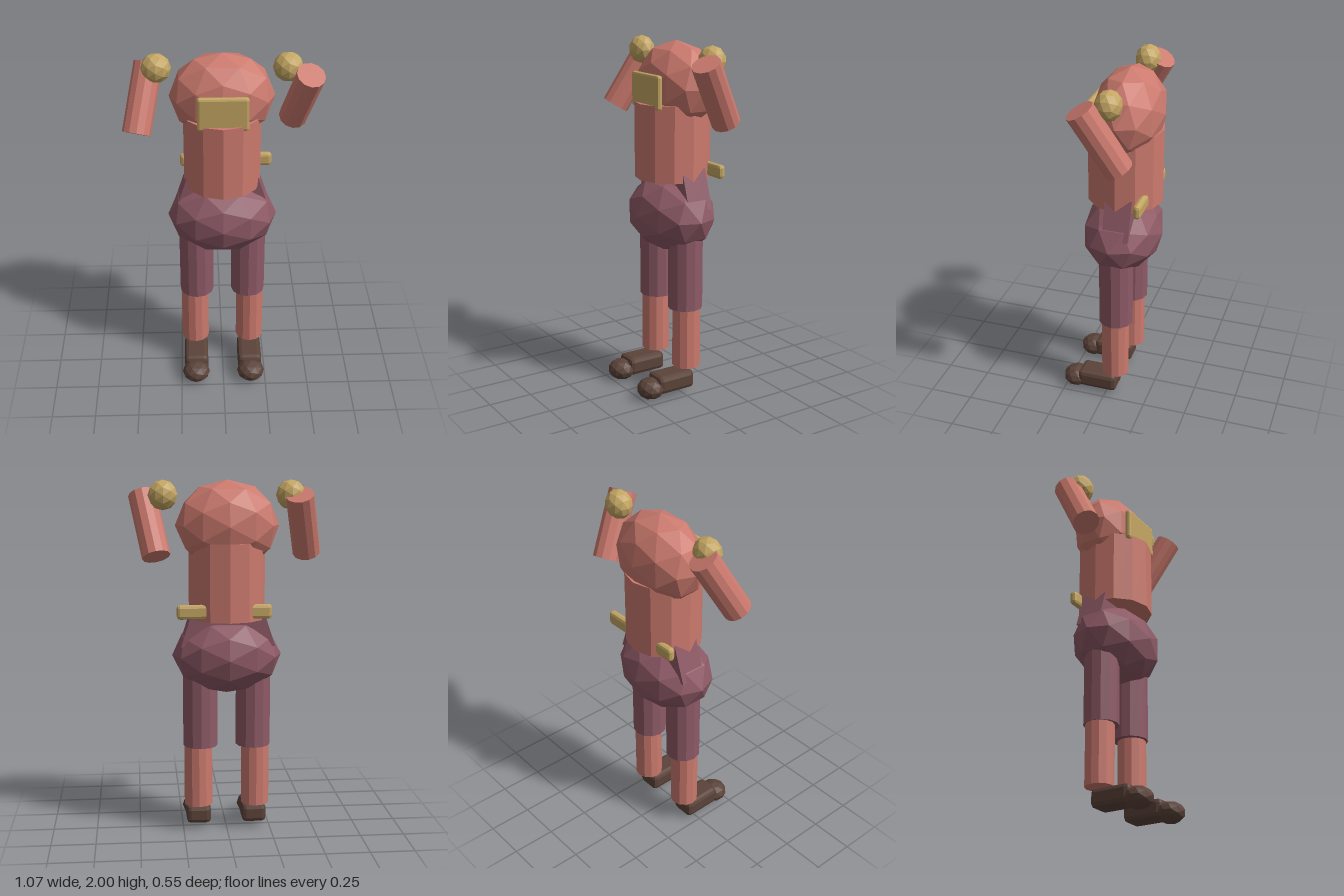
import * as THREE from 'three';
import { RoundedBoxGeometry } from 'three/addons/geometries/RoundedBoxGeometry.js';

const colour = (name, hex) => {
  const m = new THREE.MeshStandardMaterial({ color: hex });
  m.name = name;
  return m;
};

// Gives every face its own normal for the faceted look
function faceted(geometry) {
  const g = geometry.index ? geometry.toNonIndexed() : geometry;
  g.computeVertexNormals();
  return g;
}

export function createModel() {
  const salmon = colour('salmon', 0xcc7a6e);
  const mauve = colour('mauve', 0x8e5a66);
  const gold = colour('gold', 0xc4a663);
  const brown = colour('brown', 0x5b4339);

  const model = new THREE.Group();
  model.name = 'figure';

  const add = (name, geometry, material, x = 0, y = 0, z = 0) => {
    const mesh = new THREE.Mesh(faceted(geometry), material);
    mesh.name = name;
    mesh.position.set(x, y, z);
    model.add(mesh);
    return mesh;
  };
  // Faceted ellipsoid
  const ball = (rx, ry, rz) => new THREE.IcosahedronGeometry(1, 1).scale(rx, ry, rz);
  const tube = (r, h) => new THREE.CylinderGeometry(r, r, h, 12);
  const block = (w, h, d, r) => new RoundedBoxGeometry(w, h, d, 1, r);
  // Cylinder between two points
  const limb = (name, from, to, r, material) => {
    const a = new THREE.Vector3(...from);
    const b = new THREE.Vector3(...to);
    const axis = b.clone().sub(a);
    const mid = a.add(b).multiplyScalar(0.5);
    const mesh = add(name, tube(r, axis.length()), material, mid.x, mid.y, mid.z);
    mesh.quaternion.setFromUnitVectors(new THREE.Vector3(0, 1, 0), axis.normalize());
  };

  // Upper body
  add('chest', ball(0.286, 0.245, 0.193), salmon, 0, 1.755, -0.083);
  add('torso', tube(0.212, 0.425), salmon, 0, 1.4525, -0.06);
  add('chestPlate', block(0.275, 0.19, 0.035, 0.014), gold, 0, 1.735, 0.107);
  add('beltBar', block(0.52, 0.08, 0.042, 0.018), gold, 0.025, 1.295, -0.203);

  // Hips and the flared waist piece joining them to the torso
  add('hips', ball(0.307, 0.22, 0.224), mauve, 0, 1.03, -0.05);
  const flare = new THREE.Shape([
    new THREE.Vector2(-0.262, 1.09), new THREE.Vector2(0.262, 1.09),
    new THREE.Vector2(0.19, 1.31), new THREE.Vector2(-0.19, 1.31),
  ]);
  add('waist', new THREE.ExtrudeGeometry(flare, { depth: 0.15, bevelEnabled: false }), mauve, 0, 0, -0.15);

  for (const [side, s] of [['left', 1], ['right', -1]]) {
    // Arms: one swings forward at the top, the other at the bottom
    add(`${side}Shoulder`, ball(0.082, 0.082, 0.072), gold, s * 0.35, 1.918, -0.076);
    const top = s > 0 ? [0.46, 1.92, 0.04] : [-0.39, 1.92, -0.143];
    const bottom = s > 0 ? [0.39, 1.592, -0.143] : [-0.46, 1.592, 0.04];
    limb(`${side}Arm`, bottom, top, 0.078, salmon);

    // Legs
    add(`${side}Thigh`, tube(0.098, 0.5), mauve, s * 0.15, 0.755, -0.05);
    add(`${side}Shin`, tube(0.08, 0.38), salmon, s * 0.163, 0.345, -0.05);

    // Shoes
    add(`${side}Shoe`, block(0.14, 0.105, 0.235, 0.025), brown, s * 0.16, 0.082, 0.05);
    add(`${side}Toe`, ball(0.081, 0.061, 0.08), brown, s * 0.163, 0.061, 0.191);
  }
  return model;
}
